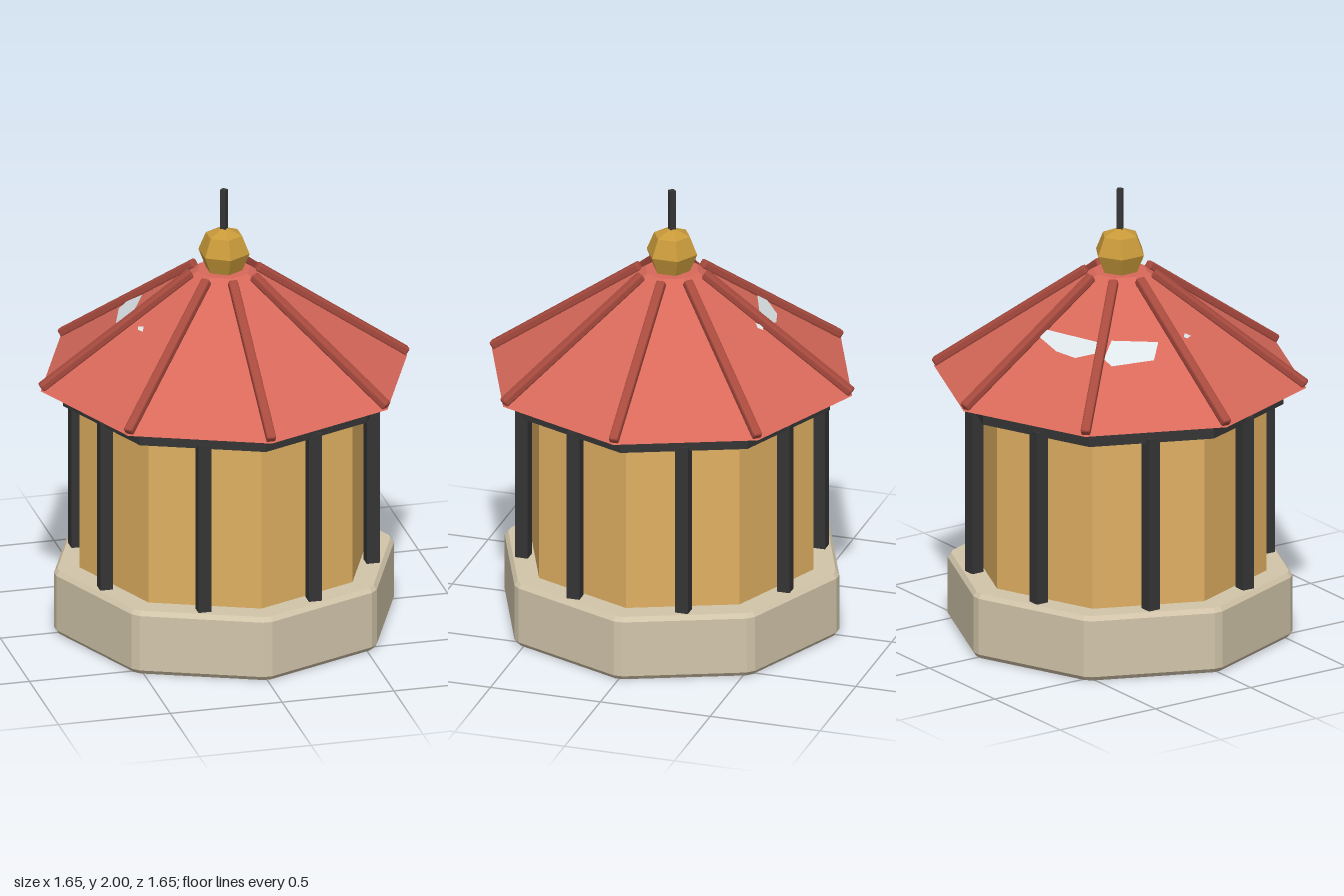
import * as THREE from 'three';
import { RoundedBoxGeometry } from 'three/addons/geometries/RoundedBoxGeometry.js';

const SIDES = 8;
const ROOF = { bottom: 1.14, top: 1.63, outer: 0.82, inner: 0.12 };
const SLOPE = (ROOF.top - ROOF.bottom) / (ROOF.outer - ROOF.inner);

const paint = (color, extra = {}) => new THREE.MeshStandardMaterial({ color, flatShading: true, ...extra });
const stone = paint(0xd2c5aa);
const plaster = paint(0xe0b062);
const timber = paint(0x353535);
const tile = paint(0xd8695a);
const ridgeTile = paint(0xa84a3e);
const gold = paint(0xc99a3a);
const snow = paint(0xdde5e8, { side: THREE.DoubleSide });

export function createModel() {
  const model = new THREE.Group();
  const add = (name, geometry, material, y = 0, parent = model) => {
    const mesh = new THREE.Mesh(geometry, material);
    mesh.name = name;
    mesh.position.y = y;
    parent.add(mesh);
    return mesh;
  };
  const prism = (rTop, rBottom, y0, y1, sides = SIDES) =>
    new THREE.CylinderGeometry(rTop, rBottom, y1 - y0, sides).translate(0, (y0 + y1) / 2, 0);

  // Stone base: octagon with chamfered corners and bevelled rims
  const outline = [];
  for (let i = 0; i < SIDES; i++) {
    const a = (i / SIDES) * Math.PI * 2;
    for (const t of [-0.017, 0.017]) {
      outline.push(new THREE.Vector2(
        0.74 * Math.cos(a) - t * Math.sin(a),
        0.74 * Math.sin(a) + t * Math.cos(a)));
    }
  }
  const base = new THREE.ExtrudeGeometry(new THREE.Shape(outline), {
    depth: 0.255, bevelThickness: 0.02, bevelSize: 0.015, bevelSegments: 1,
  });
  add('base', base.rotateX(-Math.PI / 2), stone, 0.02);

  // Walls and the beam ring that carries the roof
  add('walls', prism(0.645, 0.645, 0.28, 1.08), plaster);
  add('beamRing', prism(0.72, 0.72, 1.06, 1.14), timber);

  // Posts at the middle of each wall face
  const posts = new THREE.Group();
  posts.name = 'posts';
  model.add(posts);
  for (let i = 0; i < SIDES; i++) {
    const a = ((i + 0.5) / SIDES) * Math.PI * 2;
    const post = add('post', new THREE.BoxGeometry(0.058, 0.8, 0.058), timber, 0.68, posts);
    post.position.x = 0.645 * Math.sin(a);
    post.position.z = 0.645 * Math.cos(a);
  }

  // Roof with a ridge bar along each hip
  add('roof', prism(ROOF.inner, ROOF.outer, ROOF.bottom, ROOF.top), tile);
  const ridges = new THREE.Group();
  ridges.name = 'ridges';
  model.add(ridges);
  for (let i = 0; i < SIDES; i++) {
    const hip = new THREE.Group();
    hip.name = 'hip';
    hip.rotation.y = (i / SIDES) * Math.PI * 2;
    ridges.add(hip);
    const bar = add('ridge', new RoundedBoxGeometry(0.042, 0.038, 0.82, 1, 0.009), ridgeTile, 1.391, hip);
    bar.position.z = 0.483;
    bar.rotation.x = Math.atan(SLOPE);
  }

  // Thin pale patches lying on the roof, outlined in (x, z)
  const roofHeight = (x, z) => {
    const step = (Math.PI * 2) / SIDES;
    const middle = (Math.floor(Math.atan2(z, x) / step) + 0.5) * step;
    const reach = (x * Math.cos(middle) + z * Math.sin(middle)) / Math.cos(step / 2);
    return ROOF.bottom + (ROOF.outer - reach) * SLOPE;
  };
  const patches = [
    [[-0.39, -0.31], [-0.35, -0.325], [-0.3, -0.25], [-0.395, -0.07], [-0.45, -0.13]],
    [[-0.31, -0.33], [-0.24, -0.4], [-0.14, -0.43], [-0.01, -0.435], [-0.01, -0.4], [-0.27, -0.3]],
    [[-0.4, 0.06], [-0.38, 0.08], [-0.39, 0.105], [-0.405, 0.075]],
    [[0.01, -0.42], [0.035, -0.425], [0.045, -0.405], [0.03, -0.39]],
  ];
  for (const points of patches) {
    const shape = new THREE.Shape(points.map(([x, z]) => new THREE.Vector2(x, -z)));
    const geometry = new THREE.ShapeGeometry(shape).rotateX(-Math.PI / 2);
    const p = geometry.attributes.position;
    for (let i = 0; i < p.count; i++) p.setY(i, roofHeight(p.getX(i), p.getZ(i)) + 0.006);
    geometry.computeVertexNormals();
    add('roofPatch', geometry, snow);
  }

  // Finial: faceted ball and square spike
  add('finialBall', new THREE.SphereGeometry(0.115, 6, 4).rotateY(Math.PI / 2), gold, 1.71);
  add('finialSpike', prism(0.018, 0.018, 1.76, 2, 4), timber);

  return model;
}
